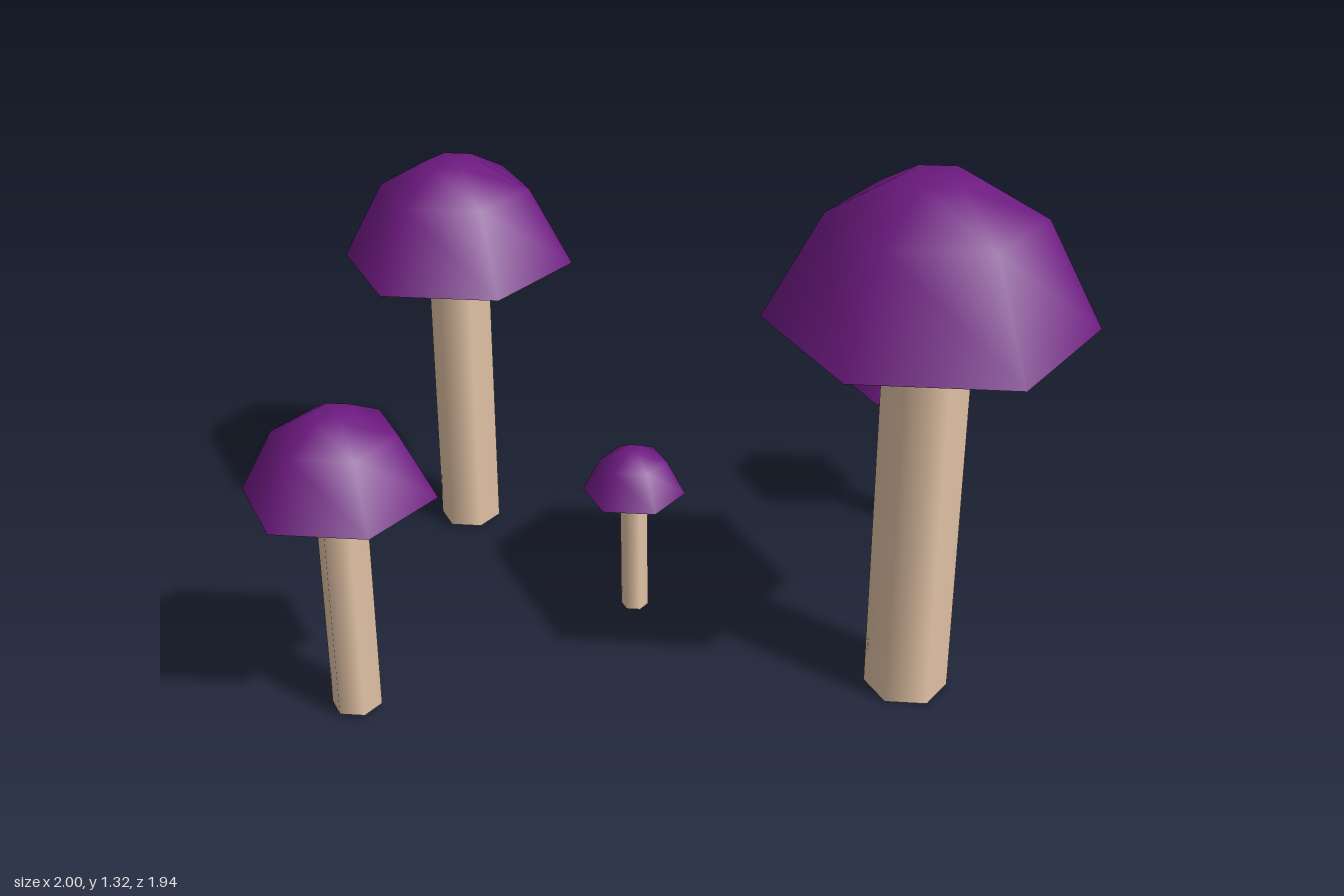
import * as THREE from 'three';

const capMaterial = new THREE.MeshStandardMaterial({ color: 0x6d1a80 });
const stemMaterial = new THREE.MeshStandardMaterial({ color: 0xe8c8aa });

// x, z, cap radius, stem foot, rim height, top height
const mushrooms = [
  ['largeMushroom', 0.667, -0.112, 0.38, 0, 0.972, 1.318],
  ['tallMushroom', -0.736, -0.123, 0.305, 0.004, 0.784, 1.06],
  ['mediumMushroom', -0.366, 0.738, 0.228, 0.01, 0.59, 0.797],
  ['tinyMushroom', -0.083, -0.013, 0.131, 0.002, 0.339, 0.46],
  ['smallMushroom', 0.257, -0.815, 0.161, 0.003, 0.418, 0.565],
];

const SIDES = 6;

function lathe(profile) {
  return new THREE.LatheGeometry(profile.map(([r, y]) => new THREE.Vector2(r, y)), SIDES);
}

function addMesh(group, name, geometry, material) {
  const mesh = new THREE.Mesh(geometry, material);
  mesh.name = name;
  group.add(mesh);
  return mesh;
}

function createMushroom(name, x, z, radius, foot, rim, top) {
  const mushroom = new THREE.Group();
  mushroom.name = name;
  mushroom.position.set(x, 0, z);
  const height = top - rim;
  const stemRadius = radius * 0.267;

  // Hexagonal stem, ending just inside the cap
  const stemTop = rim + height * 0.05;
  const stem = addMesh(mushroom, 'stem',
    new THREE.CylinderGeometry(stemRadius, stemRadius, stemTop - foot, SIDES), stemMaterial);
  stem.position.y = (foot + stemTop) / 2;

  // Domed cap, smooth above and with a sharp rim
  addMesh(mushroom, 'capDome', lathe([
    [radius, rim],
    [radius * 0.645, rim + height * 0.74],
    [radius * 0.23, top - 0.001],
    [0, top],
  ]), capMaterial);

  // Underside of the cap, dipping slightly towards the stem
  addMesh(mushroom, 'capUnderside', lathe([
    [stemRadius * 0.9, rim - height * 0.02],
    [radius, rim],
  ]), capMaterial);

  return mushroom;
}

export function createModel() {
  const model = new THREE.Group();
  model.name = 'mushrooms';
  for (const spec of mushrooms) model.add(createMushroom(...spec));
  return model;
}
